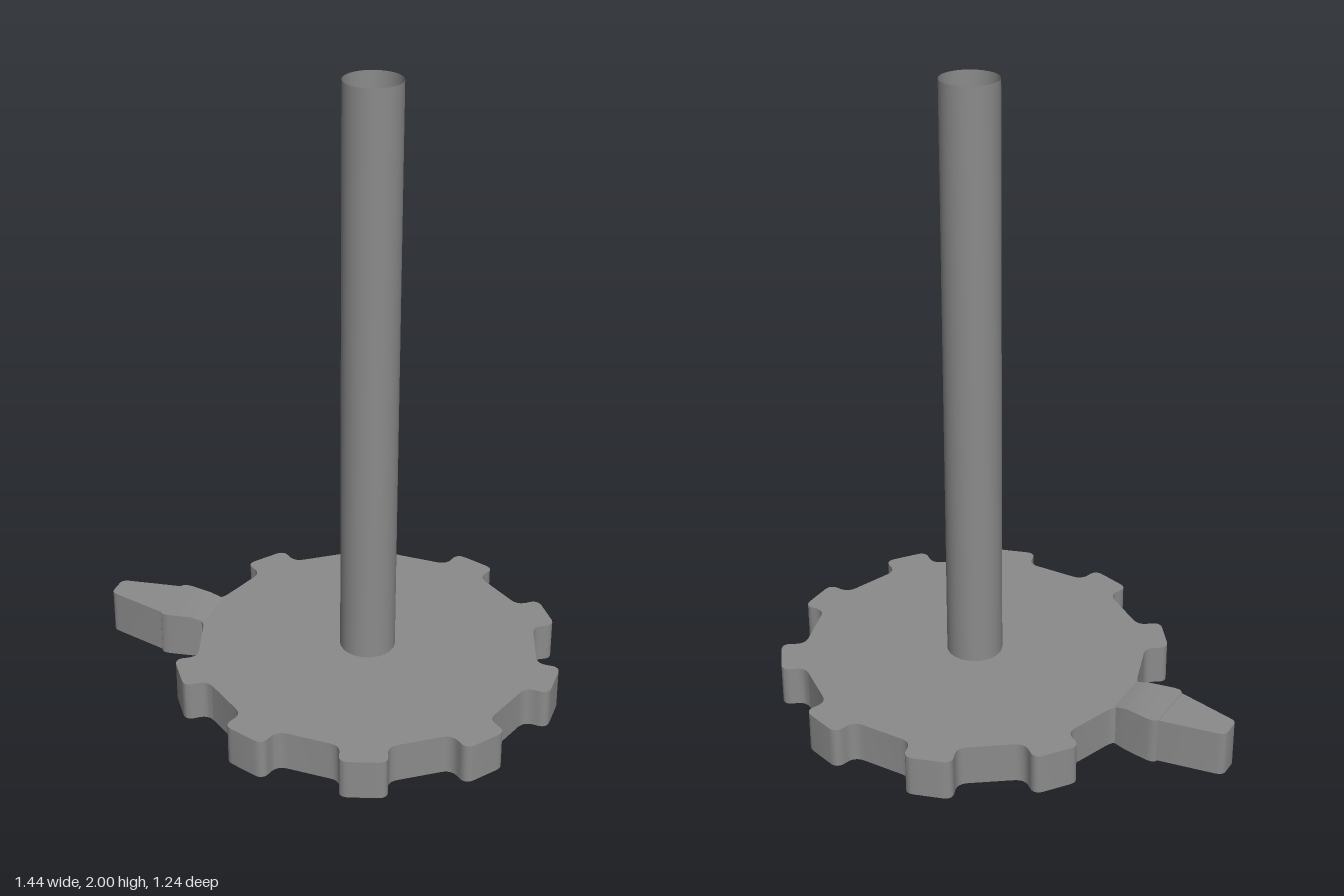
import * as THREE from 'three';
import { toCreasedNormals } from 'three/addons/utils/BufferGeometryUtils.js';

const CENTER_X = 0.11;
const TEETH = 10;
const PHASE = 5; // degrees, clockwise from the back
const COLOR = 0x8b8b8b;

const material = new THREE.MeshStandardMaterial({ color: COLOR });
const openMaterial = new THREE.MeshStandardMaterial({ color: COLOR, side: THREE.DoubleSide });

// Toothed outline: straight valleys, slightly flared teeth, rounded corners
function gearShape() {
  const tooth = [[-0.068, 0.542, 0.035], [-0.076, 0.617, 0.034], [0.076, 0.617, 0.034], [0.068, 0.542, 0.035]];
  const corners = [];
  for (let i = 0; i < TEETH; i++) {
    const a = THREE.MathUtils.degToRad(PHASE + (i * 360) / TEETH);
    for (const [t, r, round] of tooth) {
      const p = new THREE.Vector2(r * Math.sin(a) + t * Math.cos(a), r * Math.cos(a) - t * Math.sin(a));
      corners.push({ p, round });
    }
  }
  const shape = new THREE.Shape();
  const n = corners.length;
  corners.forEach(({ p, round }, i) => {
    const toward = (q) => q.clone().sub(p).setLength(round).add(p);
    const start = toward(corners[(i + n - 1) % n].p);
    const end = toward(corners[(i + 1) % n].p);
    if (i === 0) shape.moveTo(start.x, start.y);
    else shape.lineTo(start.x, start.y);
    shape.quadraticCurveTo(p.x, p.y, end.x, end.y);
  });
  shape.closePath();
  return shape;
}

// Bar through stations [radius, half width, sideways shift, bottom, top]
function barGeometry(stations) {
  const last = stations.length - 1;
  const geo = new THREE.BoxGeometry(1, 1, 1, 1, 1, last);
  const pos = geo.attributes.position;
  for (let i = 0; i < pos.count; i++) {
    const [r, half, shift, y0, y1] = stations[Math.round((pos.getZ(i) + 0.5) * last)];
    pos.setXYZ(i, Math.sign(pos.getX(i)) * half + shift, pos.getY(i) > 0 ? y1 : y0, r);
  }
  return toCreasedNormals(geo, 0.6);
}

export function createModel() {
  const group = new THREE.Group();
  const add = (name, geometry, mat = material) => {
    const mesh = new THREE.Mesh(geometry, mat);
    mesh.name = name;
    mesh.position.x = CENTER_X;
    group.add(mesh);
    return mesh;
  };

  // Toothed wheel
  const wheel = new THREE.ExtrudeGeometry(gearShape(), { depth: 0.13, bevelEnabled: false, curveSegments: 6 });
  wheel.rotateX(-Math.PI / 2).translate(0, 0.01, 0);
  add('toothedWheel', toCreasedNormals(wheel, 0.6));

  // Hollow shaft, open at the top
  const shaft = new THREE.CylinderGeometry(0.088, 0.088, 1.86, 48, 1, true);
  shaft.translate(0, 1.07, 0);
  add('shaft', shaft, openMaterial);

  // Enlarged tooth and the tapered pointer growing out of it
  const angle = Math.PI - THREE.MathUtils.degToRad(PHASE + 8 * 36);
  add('pointerBase', barGeometry([
    [0.5, 0.06, 0, 0.02, 0.13],
    [0.535, 0.077, 0, 0.011, 0.139],
    [0.585, 0.081, 0, 0, 0.15],
    [0.66, 0.094, 0, 0, 0.15],
    [0.677, 0.094, 0, 0, 0.15],
    [0.688, 0.089, 0, 0, 0.15],
    [0.693, 0.08, 0, 0, 0.15],
  ])).rotation.y = angle;
  add('pointerTip', barGeometry([
    [0.685, 0.084, 0, 0.002, 0.148],
    [0.872, 0.045, -0.009, 0.002, 0.148],
    [0.885, 0.041, -0.009, 0.002, 0.148],
    [0.893, 0.034, -0.009, 0.002, 0.148],
    [0.896, 0.024, -0.009, 0.002, 0.148],
  ])).rotation.y = angle;

  return group;
}
